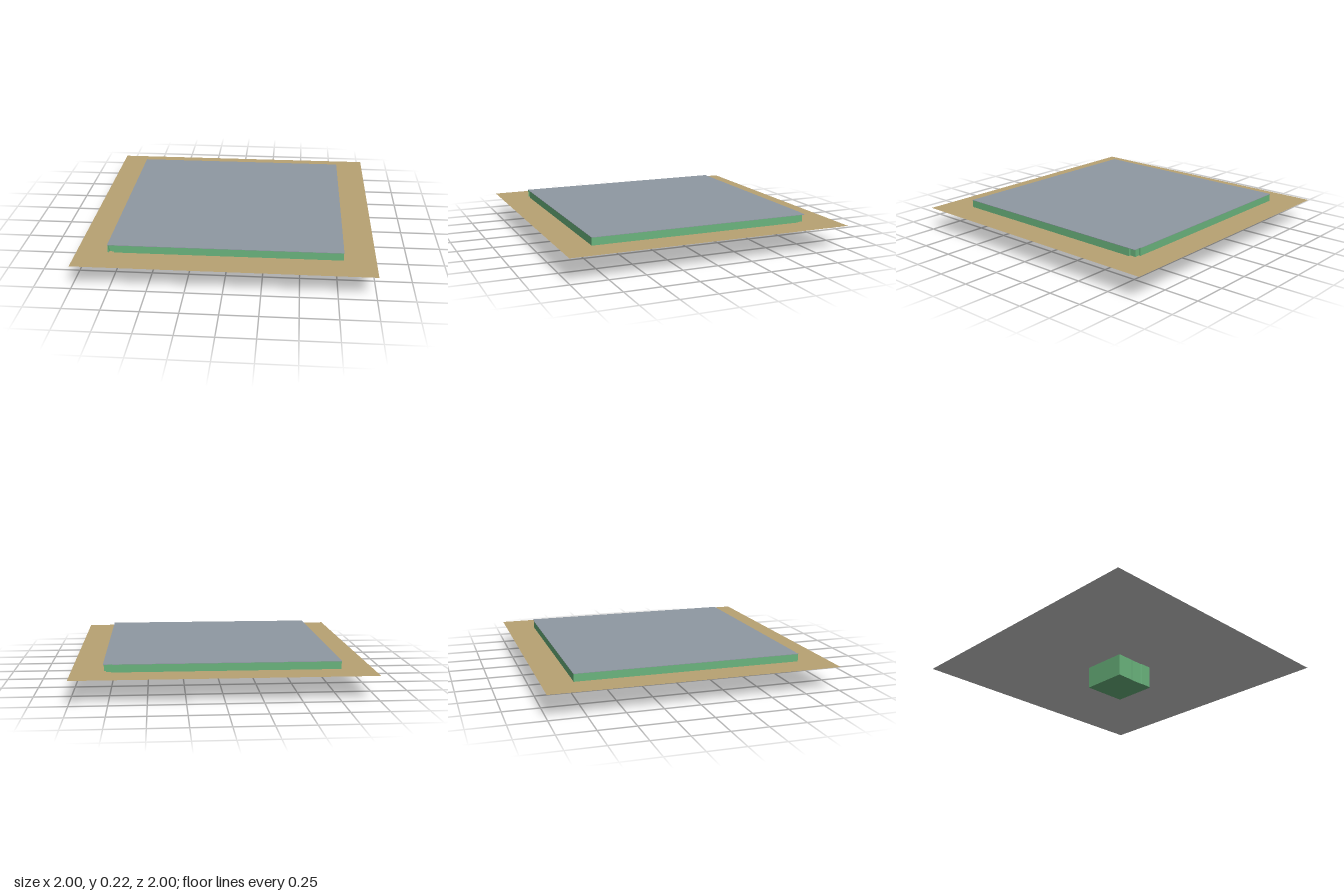
import * as THREE from 'three';

const material = (color) => new THREE.MeshStandardMaterial({ color, flatShading: true });

// Extrudes an outline of [x, z] points upward from y0 to y1
function prism(name, outline, y0, y1, mat) {
  const shape = new THREE.Shape(outline.map(([x, z]) => new THREE.Vector2(x, -z)));
  const geometry = new THREE.ExtrudeGeometry(shape, { depth: y1 - y0, bevelEnabled: false });
  geometry.rotateX(-Math.PI / 2).translate(0, y0, 0);
  const mesh = new THREE.Mesh(geometry, mat);
  mesh.name = name;
  return mesh;
}

export function createModel() {
  const model = new THREE.Group();
  model.name = 'tiledPlatform';
  const green = material(0x6ab47d);
  const tan = material(0xb8a273);
  const slate = material(0x8f99a2);
  const grey = material(0xcccccc);

  // Block under the sheet, its front face broken by shallow steps
  model.add(prism('baseBlock', [
    [-0.17, -0.155], [0.155, -0.155], [0.155, 0.16], [0.148, 0.168],
    [0.065, 0.168], [0.055, 0.164], [-0.03, 0.164], [-0.045, 0.168],
    [-0.12, 0.168], [-0.125, 0.17], [-0.17, 0.17],
  ], 0, 0.163, green));

  // Wide thin sheet: tan above, grey below
  const sheet = new THREE.PlaneGeometry(2, 2).rotateX(-Math.PI / 2);
  const sheetTop = new THREE.Mesh(sheet, tan);
  sheetTop.name = 'sheetTop';
  sheetTop.position.y = 0.166;
  const sheetUnderside = new THREE.Mesh(sheet, grey);
  sheetUnderside.name = 'sheetUnderside';
  sheetUnderside.rotation.x = Math.PI;
  sheetUnderside.position.y = 0.163;
  model.add(sheetTop, sheetUnderside);

  // Low wall around the slab, with small notches at two opposite corners
  model.add(prism('slabWall', [
    [-0.788, -0.788], [0.735, -0.788], [0.735, -0.775], [0.77, -0.775],
    [0.77, -0.735], [0.785, -0.735], [0.785, 0.786], [-0.745, 0.786],
    [-0.745, 0.77], [-0.78, 0.77], [-0.78, 0.786], [-0.788, 0.786],
  ], 0.166, 0.218, green));

  // Thin cover on the slab
  model.add(prism('slabCover', [
    [-0.79, -0.79], [0.72, -0.79], [0.73, -0.785], [0.787, -0.785],
    [0.787, 0.787], [-0.745, 0.787], [-0.76, 0.783], [-0.79, 0.787],
  ], 0.218, 0.221, slate));

  return model;
}
